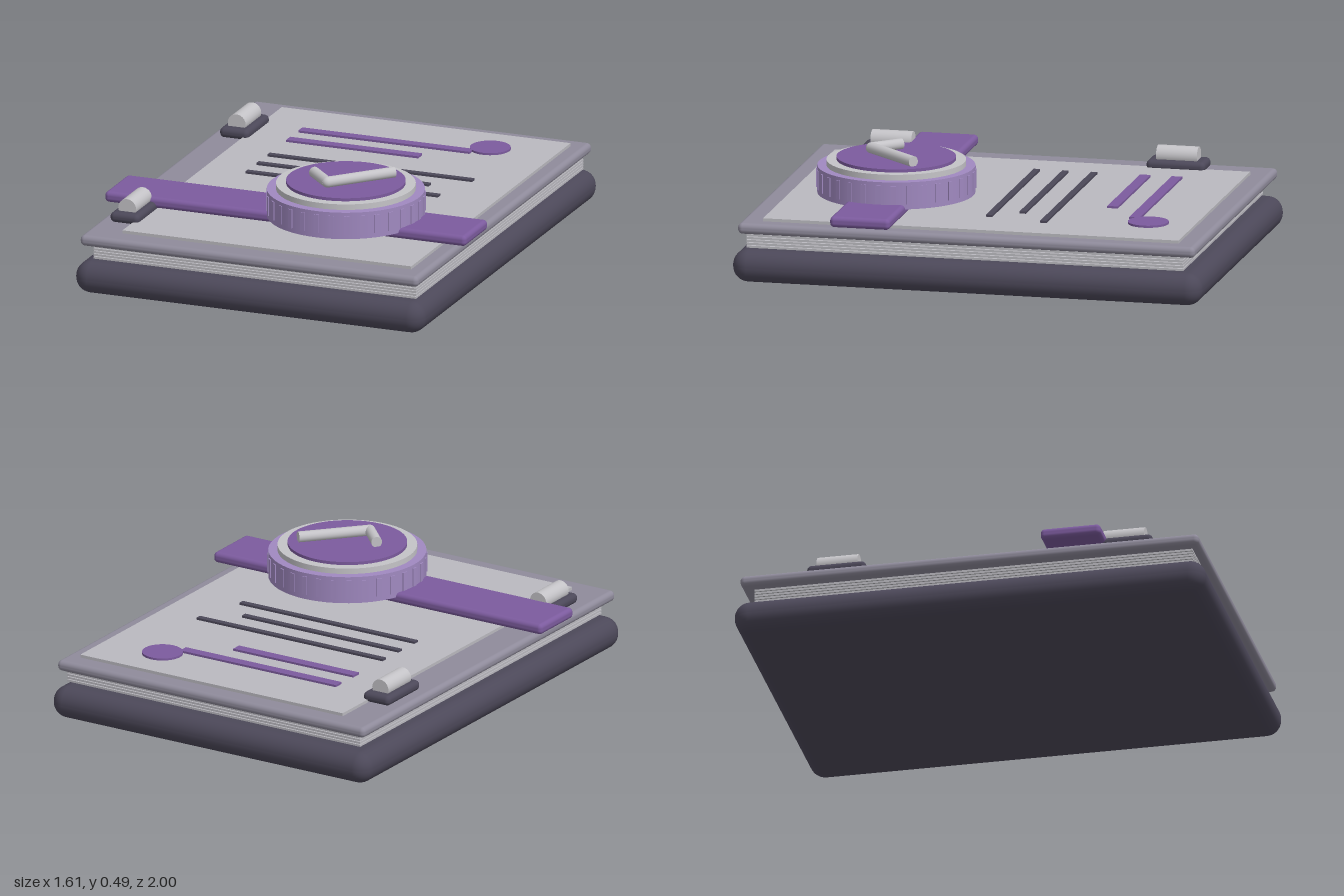
import * as THREE from 'three';
import { RoundedBoxGeometry } from 'three/addons/geometries/RoundedBoxGeometry.js';

export function createModel() {
  const model = new THREE.Group();
  const mat = (name, color) => Object.assign(new THREE.MeshStandardMaterial({ color }), { name });
  const dark = mat('charcoal', 0x4c4859);
  const coverGrey = mat('coverGrey', 0x8f8b9b);
  const paper = mat('paperGrey', 0xbab9bf);
  const metal = mat('lightGrey', 0xc4c3c7);
  const purple = mat('purple', 0x7c5b9e);
  const lavender = mat('lavender', 0xa089c0);

  const add = (name, geometry, material, x, y, z, parent = model) => {
    const mesh = new THREE.Mesh(geometry, material);
    mesh.name = name;
    mesh.position.set(x, y, z);
    parent.add(mesh);
    return mesh;
  };
  // Box given by its limits, with an optional edge radius
  const slab = (name, material, [x0, x1], [y0, y1], [z0, z1], radius = 0, parent = model) => {
    const size = [x1 - x0, y1 - y0, z1 - z0];
    const geometry = radius ? new RoundedBoxGeometry(...size, 5, radius) : new THREE.BoxGeometry(...size);
    return add(name, geometry, material, (x0 + x1) / 2, (y0 + y1) / 2, (z0 + z1) / 2, parent);
  };

  // Book: thick back cover, stacked sheets, front cover and top page
  slab('backCover', dark, [-0.78, 0.78], [0, 0.137], [-1, 1], 0.066);
  for (let i = 0; i < 5; i++) {
    const y = 0.147 + i * 0.0122;
    slab('sheet', paper, [-0.705, 0.735], [y, y + 0.009], [-0.92, 0.94]);
  }
  slab('frontCover', coverGrey, [-0.755, 0.755], [0.206, 0.252], [-0.972, 0.975], 0.02);
  slab('topPage', paper, [-0.6, 0.69], [0.245, 0.265], [-0.89, 0.88]);

  // Printed lines: right end, centre z, width, material
  const lines = [
    [0.355, -0.623, 0.045, purple], [0.18, -0.488, 0.045, purple],
    [0.505, -0.27, 0.027, dark], [0.36, -0.148, 0.027, dark], [0.45, -0.026, 0.027, dark],
  ];
  for (const [end, z, w, m] of lines) {
    slab('textLine', m, [-0.41, end], [0.265, 0.274], [z - w / 2, z + w / 2]);
  }
  add('pageDot', new THREE.CylinderGeometry(0.085, 0.085, 0.009, 40), purple, 0.41, 0.2695, -0.695);

  // Clips along the spine
  for (const z of [-0.575, 0.642]) {
    const clip = new THREE.Group();
    clip.name = 'clip';
    slab('clipBase', dark, [-0.705, -0.575], [0.252, 0.296], [z - 0.125, z + 0.125], 0.02, clip);
    const pin = add('clipPin', new THREE.CylinderGeometry(0.04, 0.04, 0.174, 24), metal, -0.64, 0.31, z, clip);
    pin.rotation.x = Math.PI / 2;
    model.add(clip);
  }

  // Strap across the book
  slab('strap', purple, [-0.807, 0.807], [0.268, 0.314], [0.315, 0.57], 0.018);

  // Round seal with a ribbed rim
  const seal = new THREE.Group();
  seal.name = 'seal';
  seal.position.set(0.215, 0, 0.425);
  model.add(seal);
  const disc = (name, m, r, y0, y1) =>
    add(name, new THREE.CylinderGeometry(r, r, y1 - y0, 64), m, 0, (y0 + y1) / 2, 0, seal);
  disc('sealRim', lavender, 0.328, 0.295, 0.41);
  disc('sealRing', metal, 0.29, 0.41, 0.434);
  disc('sealFace', purple, 0.248, 0.434, 0.447);
  for (let i = 0; i < 32; i++) {
    const a = (i / 32) * Math.PI * 2;
    const rib = add('rimRib', new THREE.BoxGeometry(0.022, 0.08, 0.012), lavender,
      Math.sin(a) * 0.326, 0.355, Math.cos(a) * 0.326, seal);
    rib.rotation.y = a;
  }

  // Check mark made of two rods joined by a ball
  const rod = (a, b) => {
    const from = new THREE.Vector3(a[0], 0.467, a[1]);
    const to = new THREE.Vector3(b[0], 0.467, b[1]);
    const dir = to.clone().sub(from);
    const mid = from.add(to).multiplyScalar(0.5);
    const mesh = add('checkStroke', new THREE.CylinderGeometry(0.023, 0.023, dir.length(), 20), metal, mid.x, mid.y, mid.z);
    mesh.quaternion.setFromUnitVectors(new THREE.Vector3(0, 1, 0), dir.normalize());
  };
  rod([0.077, 0.435], [0.178, 0.54]);
  rod([0.178, 0.54], [0.385, 0.312]);
  add('checkCorner', new THREE.SphereGeometry(0.023, 20, 14), metal, 0.178, 0.467, 0.54);

  return model;
}
